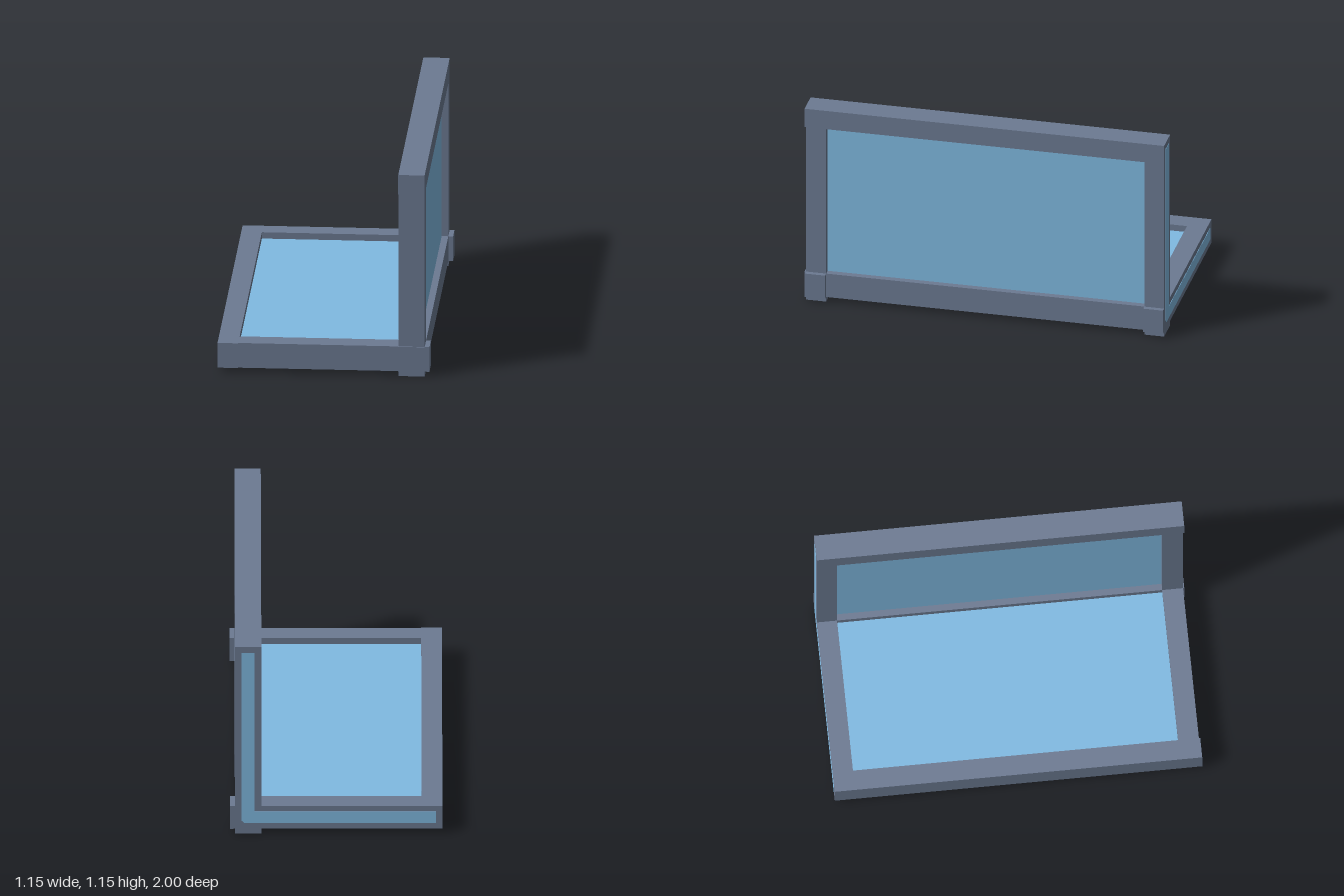
import * as THREE from 'three';

const frameMat = new THREE.MeshStandardMaterial({ color: 0x6c7a92 });
const glassMat = new THREE.MeshStandardMaterial({ color: 0x80bae2 });

// Box given by its minimum and maximum on each axis
function bar(name, [x0, x1], [y0, y1], [z0, z1]) {
  const mesh = new THREE.Mesh(new THREE.BoxGeometry(x1 - x0, y1 - y0, z1 - z0), frameMat);
  mesh.position.set((x0 + x1) / 2, (y0 + y1) / 2, (z0 + z1) / 2);
  mesh.name = name;
  return mesh;
}

export function createModel() {
  const model = new THREE.Group();
  model.name = 'angledFramedPanels';

  const wallX = [0.405, 0.548];
  const floorY = [0.028, 0.169];
  const length = [-0.998, 1];

  // Long rails
  model.add(bar('topRail', wallX, [1.04, 1.15], length));
  model.add(bar('cornerRail', wallX, floorY, length));
  model.add(bar('floorEdgeRail', [-0.575, -0.463], floorY, length));

  // End posts and floor bars, crossing at the corner with short stubs
  for (const [side, z] of [['front', [0.88, 0.993]], ['back', [-0.998, -0.888]]]) {
    model.add(bar(side + 'Post', wallX, [0, 1.15], z));
    model.add(bar(side + 'FloorBar', [-0.575, 0.574], floorY, z));
  }

  // One bent pane inside both frames, its edge showing at the back
  const bend = 0.015;
  const outline = new THREE.Shape([
    [-0.54, 0.064], [0.512 - bend, 0.064], [0.512, 0.064 + bend], [0.512, 1.115],
    [0.441, 1.115], [0.441, 0.133], [-0.54, 0.133],
  ].map(([x, y]) => new THREE.Vector2(x, y)));
  const glass = new THREE.Mesh(
    new THREE.ExtrudeGeometry(outline, { depth: 1.96, bevelEnabled: false }), glassMat);
  glass.position.z = -1;
  glass.name = 'bentPane';
  model.add(glass);

  return model;
}
